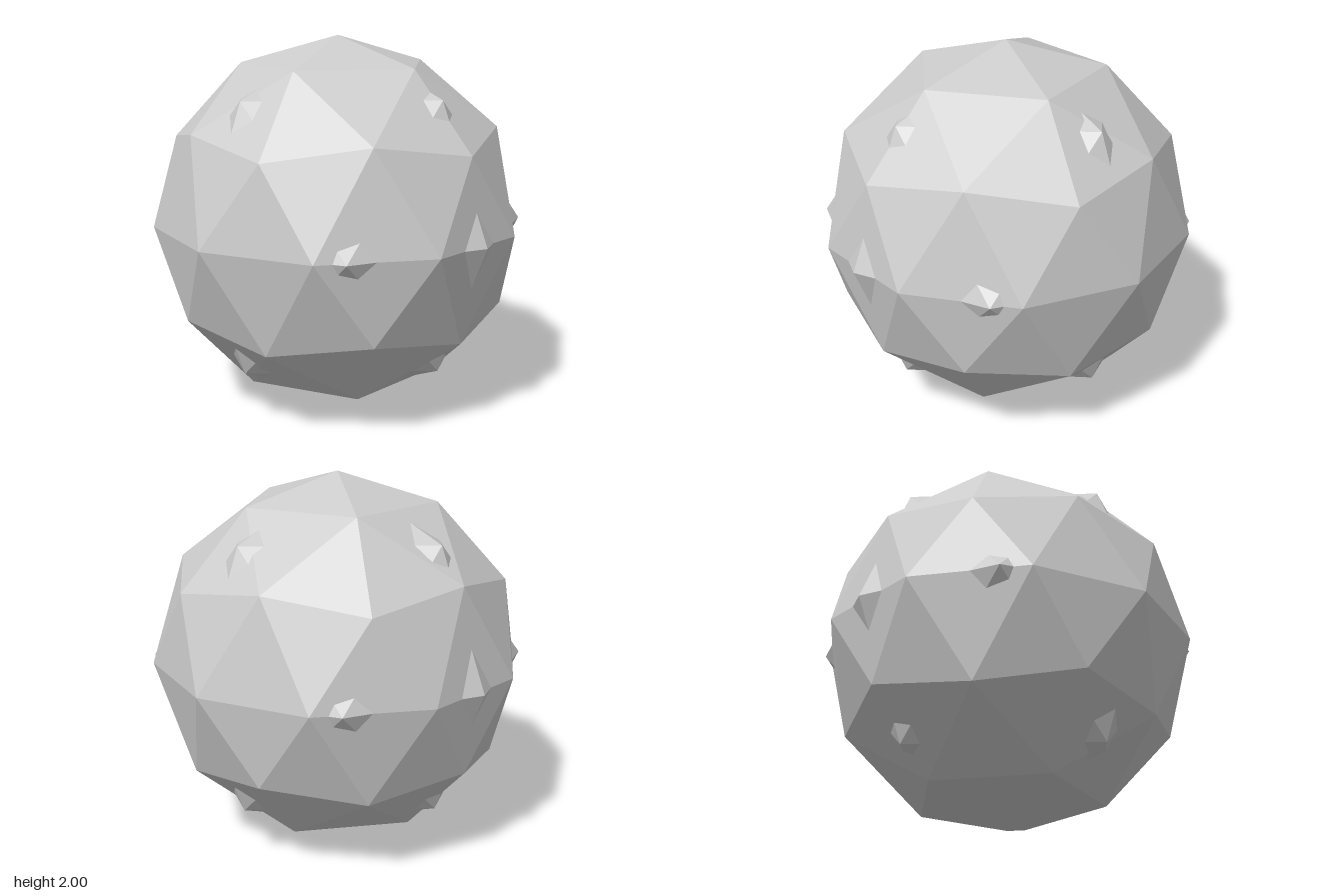
import * as THREE from 'three';

export function createModel() {
  const group = new THREE.Group();
  const material = new THREE.MeshStandardMaterial({ color: 0xcccccc, flatShading: true });

  function add(name, geometry) {
    const mesh = new THREE.Mesh(geometry, material);
    mesh.name = name;
    mesh.position.y = 1;
    group.add(mesh);
  }

  // Faceted ball, tilted so one corner of its icosahedron points straight up
  const golden = (1 + Math.sqrt(5)) / 2;
  const ball = new THREE.IcosahedronGeometry(1, 1);
  ball.rotateZ(-Math.atan(1 / golden));
  add('facetedBall', ball);

  // Inner ball of the same radius, whose corners poke through as small studs
  add('innerStuds', new THREE.OctahedronGeometry(1, 1));

  return group;
}
